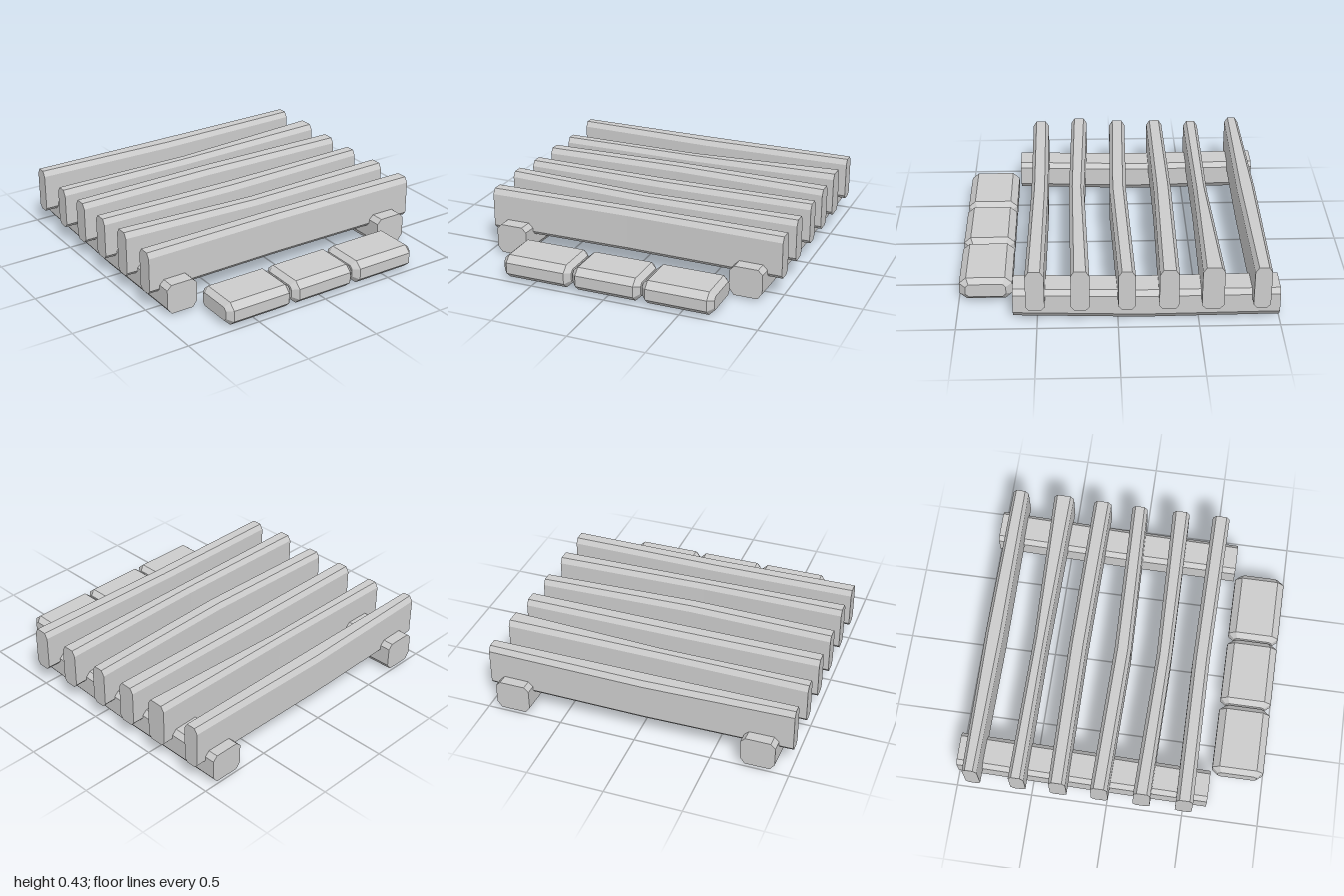
import * as THREE from 'three';

// Lofts chamfered rectangles along z. Section: [z, x0, x1, y0, y1, chamferX, chamferTop, chamferBottom]
function loft(sections) {
  const rings = sections.map(([z, x0, x1, y0, y1, c, t, b]) => [
    [x0 + c, y0, z], [x1 - c, y0, z], [x1, y0 + b, z], [x1, y1 - t, z],
    [x1 - c, y1, z], [x0 + c, y1, z], [x0, y1 - t, z], [x0, y0 + b, z],
  ]);
  const pos = [];
  const tri = (a, b, c) => pos.push(...a, ...b, ...c);
  for (let k = 0; k < rings.length - 1; k++) {
    for (let j = 0; j < 8; j++) {
      const n = (j + 1) % 8, r = rings[k], s = rings[k + 1];
      tri(r[j], r[n], s[n]);
      tri(r[j], s[n], s[j]);
    }
  }
  const first = rings[0], last = rings[rings.length - 1];
  for (let j = 1; j < 7; j++) {
    tri(first[0], first[j + 1], first[j]);
    tri(last[0], last[j], last[j + 1]);
  }
  const geo = new THREE.BufferGeometry();
  geo.setAttribute('position', new THREE.Float32BufferAttribute(pos, 3));
  geo.computeVertexNormals();
  return geo;
}

export function createModel() {
  const group = new THREE.Group();
  const grey = new THREE.MeshStandardMaterial({ color: 0xcccccc, flatShading: true });
  grey.name = 'plain grey';
  const add = (name, geo) => {
    const mesh = new THREE.Mesh(geo, grey);
    mesh.name = name;
    group.add(mesh);
  };

  // Two long runners: x range at the back, middle and front
  const runners = {
    rightRunner: [[-0.91, -0.69], [-0.92, -0.7], [-0.93, -0.72]],
    leftRunner: [[0.71, 0.935], [0.7, 0.92], [0.69, 0.905]],
  };
  for (const [name, [back, mid, front]] of Object.entries(runners)) {
    add(name, loft([
      [-1, ...back, 0.02, 0.215, 0.03, 0.03, 0.04],
      [-0.15, ...mid, 0, 0.2, 0.03, 0.03, 0.04],
      [0.65, ...front, 0.015, 0.21, 0.03, 0.03, 0.04],
    ]));
  }

  // Six cross slats: z range at x = -1, the middle and x = 1, then top heights
  const slats = [
    [0.45, 0.56, 0.44, 0.55, 0.45, 0.565, 0.41, 0.41, 0.41],
    [0.175, 0.285, 0.2, 0.3, 0.175, 0.29, 0.43, 0.41, 0.41],
    [-0.1, 0.01, -0.08, 0.03, -0.105, 0, 0.41, 0.41, 0.405],
    [-0.37, -0.26, -0.38, -0.265, -0.37, -0.25, 0.41, 0.415, 0.41],
    [-0.63, -0.53, -0.62, -0.53, -0.645, -0.51, 0.4, 0.4, 0.425],
    [-0.925, -0.83, -0.94, -0.82, -0.93, -0.825, 0.425, 0.415, 0.42],
  ];
  slats.forEach((s, i) => {
    const cut = (x, k) => [x, -s[2 * k + 1], -s[2 * k], 0.13, s[6 + k], 0.022, 0.035, 0.025];
    add(`slat${i + 1}`, loft([cut(-1, 0), cut(-0.04, 1), cut(1, 2)]).rotateY(Math.PI / 2));
  });

  // Three chamfered blocks lying in front
  const blocks = [[-0.71, -0.24], [-0.23, 0.23], [0.24, 0.71]];
  blocks.forEach(([x0, x1], i) => {
    const end = (x) => [x, -0.955, -0.7, 0.045, 0.135, 0.02, 0.02, 0.02];
    const full = (x) => [x, -0.995, -0.66, 0.012, 0.165, 0.045, 0.04, 0.04];
    add(`frontBlock${i + 1}`,
      loft([end(x0), full(x0 + 0.035), full(x1 - 0.035), end(x1)]).rotateY(Math.PI / 2));
  });

  return group;
}
